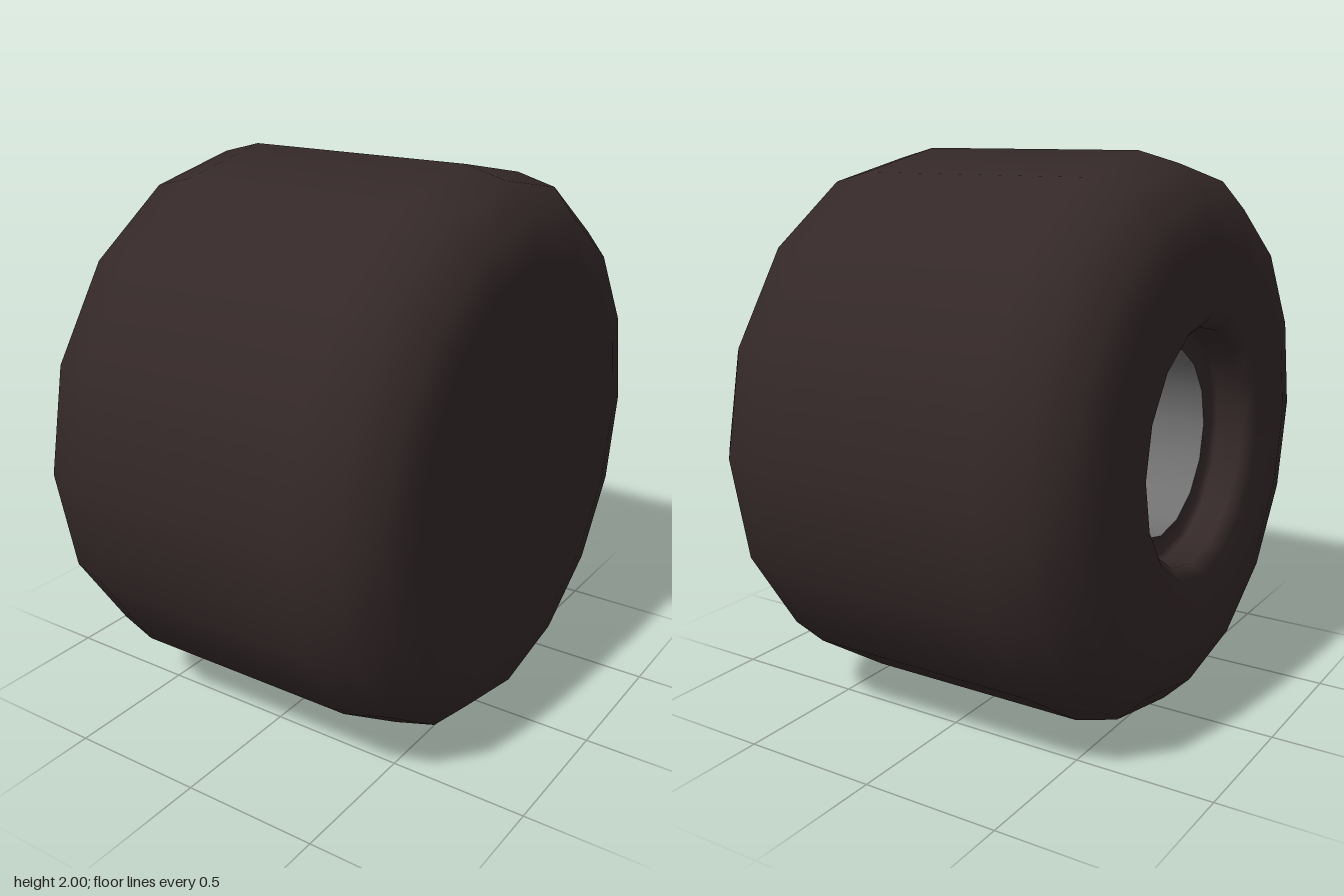
import * as THREE from 'three';

const SIDES = 16;

// Turns a [radius, x] profile around the x axis; a repeated point makes a sharp edge.
function turned(name, profile, material) {
  const points = profile.map(([r, x]) => new THREE.Vector2(r, x));
  const geometry = new THREE.LatheGeometry(points, SIDES);
  geometry.rotateZ(-Math.PI / 2);
  const mesh = new THREE.Mesh(geometry, material);
  mesh.name = name;
  return mesh;
}

export function createModel() {
  const rubber = new THREE.MeshStandardMaterial({ color: 0x342828 });
  rubber.name = 'dark brown rubber';
  const metal = new THREE.MeshStandardMaterial({ color: 0x707070 });
  metal.name = 'grey metal';

  const wheel = new THREE.Group();
  wheel.name = 'wheel';

  // Tyre: recess ledge, recess wall, rounded tread and closed far side
  const shoulder = [[0.72, 0.715], [0.86, 0.68], [0.96, 0.58], [1, 0.43]];
  wheel.add(turned('tyre', [
    [0.34, -0.55], [0.41, -0.55], [0.42, -0.57], [0.42, -0.67], [0.46, -0.715],
    ...shoulder.map(([r, x]) => [r, -x]),
    ...shoulder.slice().reverse(),
    [0, 0.715],
  ], rubber));

  // Metal cup set into the recess
  wheel.add(turned('hubCup', [
    [0.25, -0.34], [0.34, -0.34], [0.34, -0.34], [0.34, -0.55],
  ], metal));

  // Dark centre of the cup floor
  wheel.add(turned('hubCentre', [[0, -0.34], [0.25, -0.34]], rubber));

  wheel.position.y = 1;
  const model = new THREE.Group();
  model.name = 'model';
  model.add(wheel);
  return model;
}
